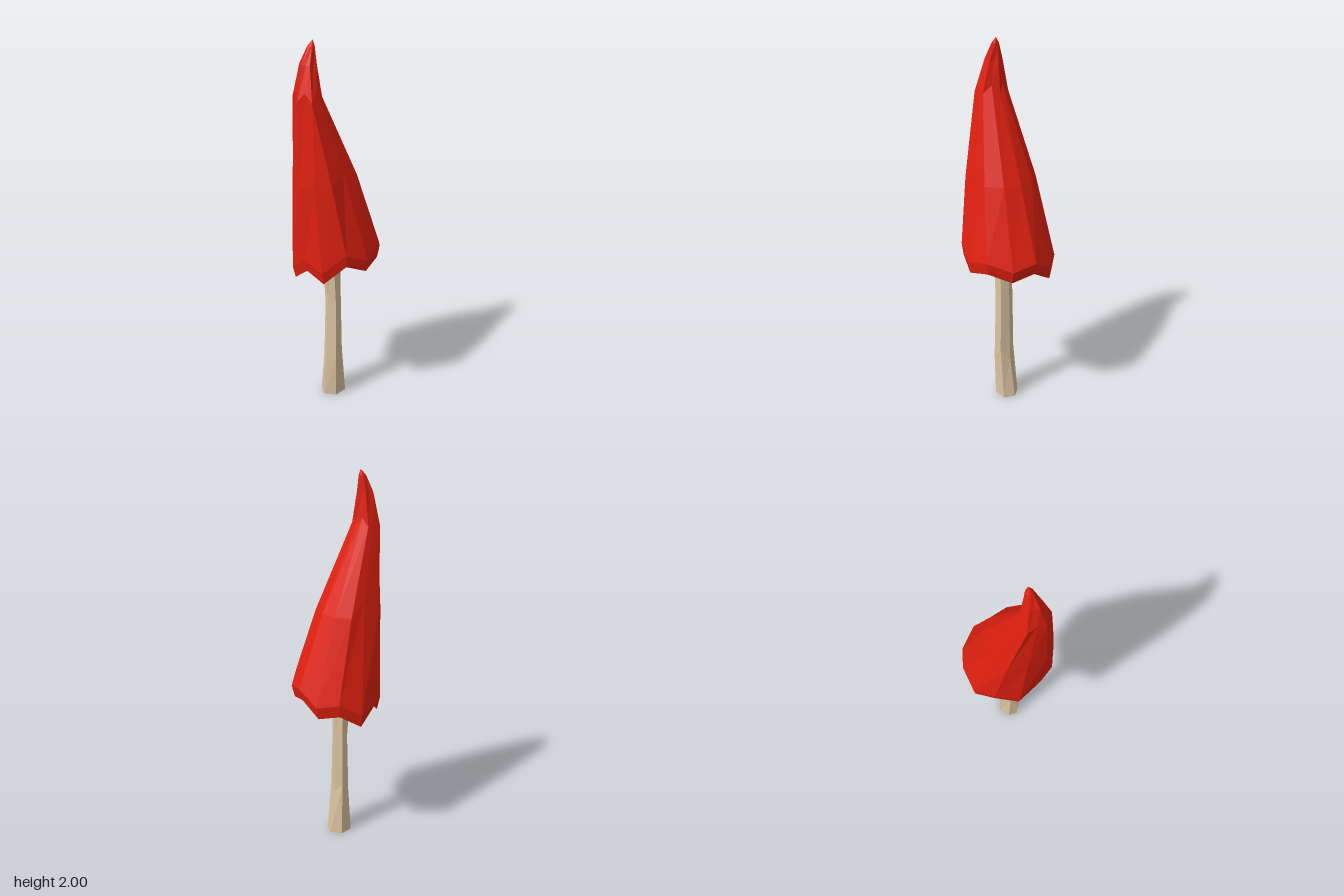
import * as THREE from 'three';

// Skin a sequence of equal-length rings with flat, outward-facing facets
function loft(rings, color, name) {
  const pos = [];
  const tri = (a, b, c) => pos.push(...a, ...b, ...c);
  for (let r = 0; r < rings.length - 1; r++) {
    const lo = rings[r], hi = rings[r + 1], n = lo.length;
    for (let i = 0; i < n; i++) {
      const j = (i + 1) % n;
      tri(lo[i], hi[i], lo[j]);
      tri(lo[j], hi[i], hi[j]);
    }
  }
  const geo = new THREE.BufferGeometry();
  geo.setAttribute('position', new THREE.Float32BufferAttribute(pos, 3));
  geo.computeVertexNormals();
  const mesh = new THREE.Mesh(geo, new THREE.MeshStandardMaterial({
    color, flatShading: true, side: THREE.DoubleSide }));
  mesh.name = name;
  return mesh;
}

// Elliptical ring; yAt and pull vary the height and radius of each corner
function ring(angles, cx, cz, rx, rz, yAt, pull = () => 1) {
  return angles.map((deg, i) => {
    const a = THREE.MathUtils.degToRad(deg), p = pull(i);
    return [cx + Math.cos(a) * rx * p, yAt(i), cz + Math.sin(a) * rz * p];
  });
}

// Hollow, bent cap, open underneath
function makeCap() {
  const angles = [-12, 17, 49, 79, 108, 137, 165, 199, 233, 264, 293, 320];
  // Scalloped lip: alternate corners hang lower
  const lip = [0.87, 0.84, 0.88, 0.85, 0.90, 0.80, 0.84, 0.745, 0.82, 0.75, 0.82, 0.80];
  const rim = [1, 1, 1, 1, 1, 1, 0.92, 0.93, 0.93, 1, 1, 1.03];
  // Folds: some corners are drawn inward further up the cap
  const fold = [1, 1, 1, 0.8, 1.02, 1, 1.02, 0.92, 0.96, 0.8, 1, 1];
  const pleat = i => (i % 2 ? 0.82 : 1.04);
  return loft([
    ring(angles, 0, 0, 0.225, 0.235, i => lip[i], i => rim[i]),
    ring(angles, 0, 0, 0.242, 0.243, i => lip[i] + 0.065, i => rim[i]),
    ring(angles, -0.071, 0.01, 0.171, 0.178, i => 1.31 + (i === 3 || i === 9 ? 0.08 : 0), i => fold[i]),
    ring(angles, -0.164, 0.02, 0.067, 0.082, i => 1.74 + (i % 2 ? 0.03 : -0.01), pleat),
    ring(angles, -0.153, 0.012, 0.042, 0.042, () => 1.89, pleat),
    ring(angles, -0.135, 0.01, 0.018, 0.018, () => 1.97),
    ring(angles, -0.125, 0.01, 0, 0, () => 2),
  ], 0xe02010, 'cap');
}

// Crooked hollow stem reaching up into the cap
function makeStem() {
  const angles = [-20, 40, 105, 170, 220, 280];
  // y, centre x, centre z, radius x, radius z
  const sections = [
    [0, -0.011, 0.004, 0.07, 0.062],
    [0.27, -0.021, 0.017, 0.046, 0.054],
    [0.61, -0.02, 0.016, 0.038, 0.047],
    [0.88, -0.033, 0.018, 0.048, 0.045],
    [0.98, -0.035, 0.018, 0.046, 0.043],
  ];
  return loft(sections.map(([y, cx, cz, rx, rz], s) =>
    ring(angles, cx, cz, rx, rz, i => (s === 1 || s === 2 ? y + (i % 2 ? 0.03 : -0.02) : y))),
  0xdcc3a1, 'stem');
}

export function createModel() {
  const group = new THREE.Group();
  group.name = 'mushroom';
  group.add(makeStem(), makeCap());
  return group;
}
